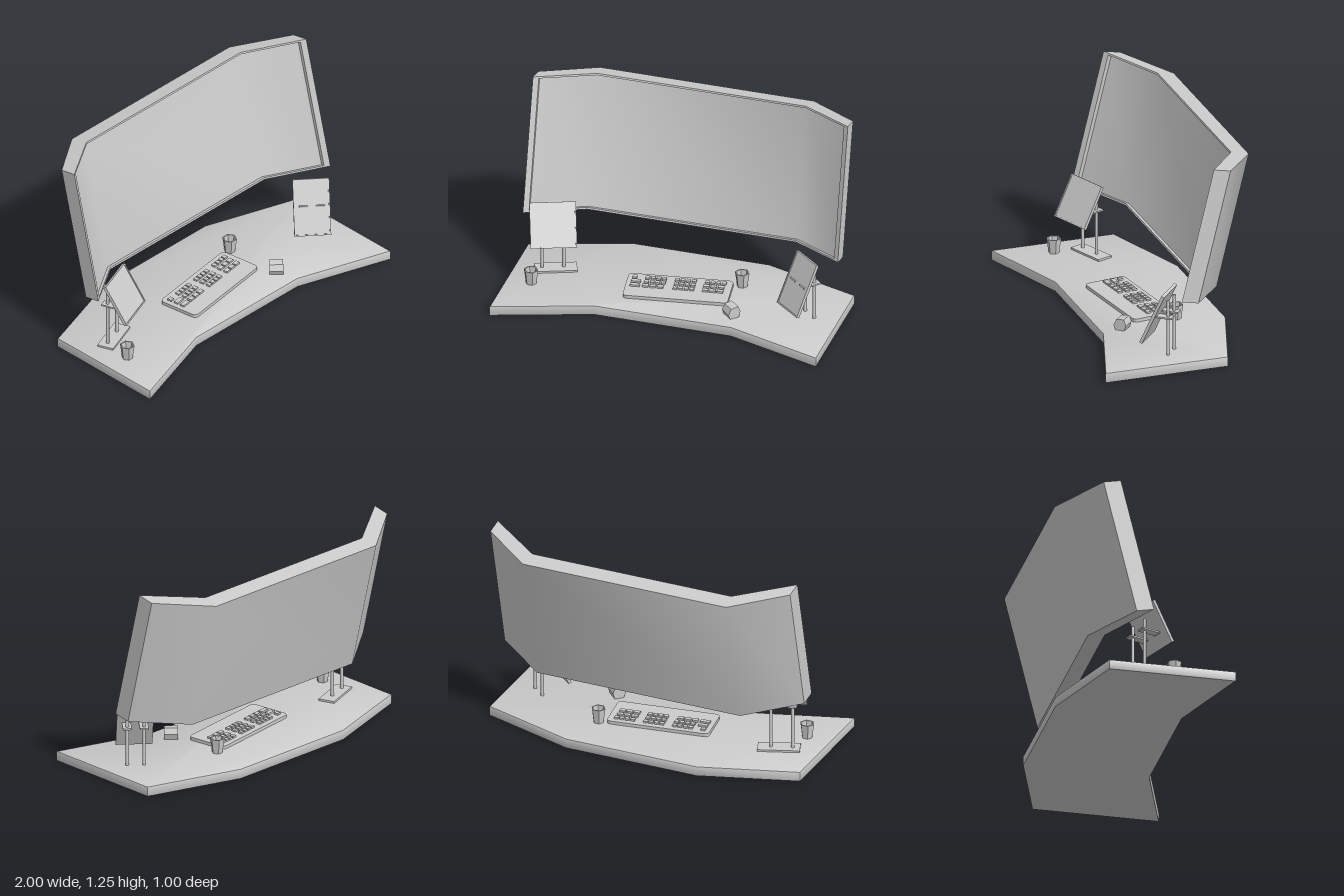
import * as THREE from 'three';
import { toCreasedNormals } from 'three/addons/utils/BufferGeometryUtils.js';

const grey = new THREE.MeshStandardMaterial({ color: 0xcccccc });
const flat = new THREE.MeshStandardMaterial({ color: 0xcccccc, flatShading: true, side: THREE.DoubleSide });
const DESK_TOP = 0.062;

function add(parent, name, geometry, x = 0, y = 0, z = 0, material = grey) {
  const mesh = new THREE.Mesh(geometry, material);
  mesh.name = name;
  mesh.position.set(x, y, z);
  parent.add(mesh);
  return mesh;
}

function addGroup(parent, name, x = 0, y = 0, z = 0, yaw = 0, tilt = 0) {
  const group = new THREE.Group();
  group.name = name;
  group.position.set(x, y, z);
  group.rotation.set(tilt, yaw, 0, 'YXZ');
  parent.add(group);
  return group;
}

// Extrudes a plan outline of [x, z] points upwards from y = 0
function planExtrude(points, depth, bevel = 0) {
  const shape = new THREE.Shape(points.map(([x, z]) => new THREE.Vector2(x, -z)));
  const geometry = new THREE.ExtrudeGeometry(shape, {
    depth: depth - 2 * bevel, bevelEnabled: bevel > 0, bevelSize: bevel,
    bevelThickness: bevel, bevelOffset: -bevel, bevelSegments: 2, curveSegments: 4,
  });
  return geometry.rotateX(-Math.PI / 2).translate(0, bevel, 0);
}

// Completes the +x half of an outline with its mirror image
const mirrored = (half) => [...half, ...half.map(([x, z]) => [-x, z]).reverse()];

function buildScreen(root) {
  const screen = addGroup(root, 'curvedScreen', 0.02);
  // Slab of the leaning screen between two height fractions
  const slab = (name, points, s0, s1) => {
    const g = planExtrude(points, s1 - s0).translate(0, s0, 0);
    const p = g.attributes.position;
    for (let i = 0; i < p.count; i++) {
      const s = p.getY(i), z = p.getZ(i);
      p.setXYZ(i, p.getX(i), 0.435 + 0.194 * z + 0.811 * s, z - 0.199 * s);
    }
    g.computeVertexNormals();
    add(screen, name, toCreasedNormals(g, 0.7));
  };
  const recess = 0.02;
  slab('screenBody', mirrored([[0.64, -0.2 - recess], [0.965, 0.0215 - recess],
    [0.965, -0.082], [0.655, -0.305]]), 0, 1);
  // Raised rim around the display
  const rim = mirrored([[0.64, -0.2], [0.965, 0.0215], [0.965, 0.0215 - recess], [0.64, -0.2 - recess]]);
  slab('bottomRim', rim, 0, 0.014);
  slab('topRim', rim, 0.986, 1);
  for (const s of [-1, 1]) {
    slab('sideRim', [[0.965, 0.0215], [0.935, 0.001], [0.935, 0.001 - recess],
      [0.965, 0.0215 - recess]].map(([x, z]) => [s * x, z]), 0.014, 0.986);
  }
}

// Tilted panel held by two posts with clips
function buildPanelStand(root, name, o) {
  const stand = addGroup(root, name);
  const [w, h] = o.size, t = 0.014, lip = 0.008;
  const panel = addGroup(stand, 'sidePanel', ...o.center, o.yaw, o.tilt);
  add(panel, 'panelBody', new THREE.BoxGeometry(w, h, t), 0, 0, -t / 2 - 0.004);
  for (const s of [-1, 1]) {
    add(panel, 'panelRim', new THREE.BoxGeometry(w, lip, 0.006), 0, s * (h - lip) / 2, -0.002);
    add(panel, 'panelRim', new THREE.BoxGeometry(lip, h, 0.006), s * (w - lip) / 2, 0, -0.002);
  }
  for (const [x, z] of o.posts) {
    const post = addGroup(stand, 'post', x, 0, z, o.yaw);
    const height = o.top - DESK_TOP;
    add(post, 'postRod', new THREE.CylinderGeometry(0.01, 0.01, height, 10), 0, DESK_TOP + height / 2, 0);
    add(post, 'clip', new THREE.BoxGeometry(0.052, 0.01, 0.12), 0, o.clipY, 0.03);
  }
  return stand;
}

function buildKeyboard(root) {
  const keyboard = addGroup(root, 'keyboard', 0, DESK_TOP, 0, 0.147);
  const w = 0.311, d = 0.13, r = 0.025;
  const corners = [];
  // Rounded outline
  for (let i = 0; i < 16; i++) {
    const q = Math.floor(i / 4);
    const a = (q + (i % 4) / 3) * Math.PI / 2;
    const sx = q === 0 || q === 3 ? 1 : -1, sz = q < 2 ? 1 : -1;
    corners.push([sx * (w - r) + r * Math.cos(a), sz * (d - r) + r * Math.sin(a)]);
  }
  add(keyboard, 'keyboardBase', planExtrude(corners, 0.02));
  const key = (x, z, width) =>
    add(keyboard, 'key', new THREE.BoxGeometry(width, 0.012, 0.027), x, 0.025, z);
  [-0.083, -0.037, 0.009].forEach((z, row) => {
    key(-0.268 + [0, 0.014, 0.014][row], z, [0.027, 0.055, 0.058][row]);
    [-0.192, -0.016, 0.162].forEach((start, block) => {
      const wide = (block === 2 && row > 0) || (block === 0 && row === 2);
      const count = wide ? 3 : 4, pitch = wide ? 0.044 : 0.033;
      for (let i = 0; i < count; i++) key(start + i * pitch, z, pitch - 0.008);
    });
  });
}

export function createModel() {
  const root = new THREE.Group();
  root.name = 'deskSetup';

  // Angled desk top
  const desk = planExtrude(mirrored([[0.42, 0.31], [1, 0.5], [1, -0.26], [0.42, -0.45]]), DESK_TOP, 0.006);
  add(root, 'deskTop', toCreasedNormals(desk, 0.6));

  buildScreen(root);
  buildKeyboard(root);

  // Side panels
  const right = buildPanelStand(root, 'rightPanelStand', {
    size: [0.273, 0.27], center: [-0.749, 0.407, 0.052], yaw: 0.365, tilt: -0.52,
    posts: [[-0.837, -0.01], [-0.717, -0.053]], top: 0.42, clipY: 0.35,
  });
  const plate = add(right, 'basePlate', new THREE.BoxGeometry(0.25, 0.012, 0.1), -0.76, DESK_TOP + 0.006, -0.035);
  plate.rotation.y = 0.365;
  buildPanelStand(root, 'leftPanelStand', {
    size: [0.216, 0.34], center: [0.756, 0.295, 0.095], yaw: -0.7, tilt: -0.42,
    posts: [[0.778, -0.005], [0.853, 0.06]], top: 0.405, clipY: 0.3,
  });

  // Hollow six-sided cups
  const cupProfile = [[0, 0], [0.032, 0], [0.044, 0.09], [0.036, 0.09], [0.026, 0.01], [0, 0.01]]
    .map(([x, y]) => new THREE.Vector2(x, y));
  for (const [x, z] of [[-0.85, 0.165], [0.34, -0.17]]) {
    add(root, 'cup', new THREE.LatheGeometry(cupProfile, 6, Math.PI / 6), x, DESK_TOP, z, flat);
  }

  // Faceted mouse
  const mouseShape = new THREE.Shape([[-0.028, 0], [0.028, 0], [0.04, 0.035], [0.026, 0.072],
    [-0.022, 0.066], [-0.04, 0.03]].map(([x, y]) => new THREE.Vector2(x, y)));
  const mouse = new THREE.ExtrudeGeometry(mouseShape, { depth: 0.08, bevelEnabled: false });
  add(root, 'mouse', mouse.translate(0, 0, -0.04), 0.38, DESK_TOP, 0.175, flat).rotation.y = 0.8;

  return root;
}
